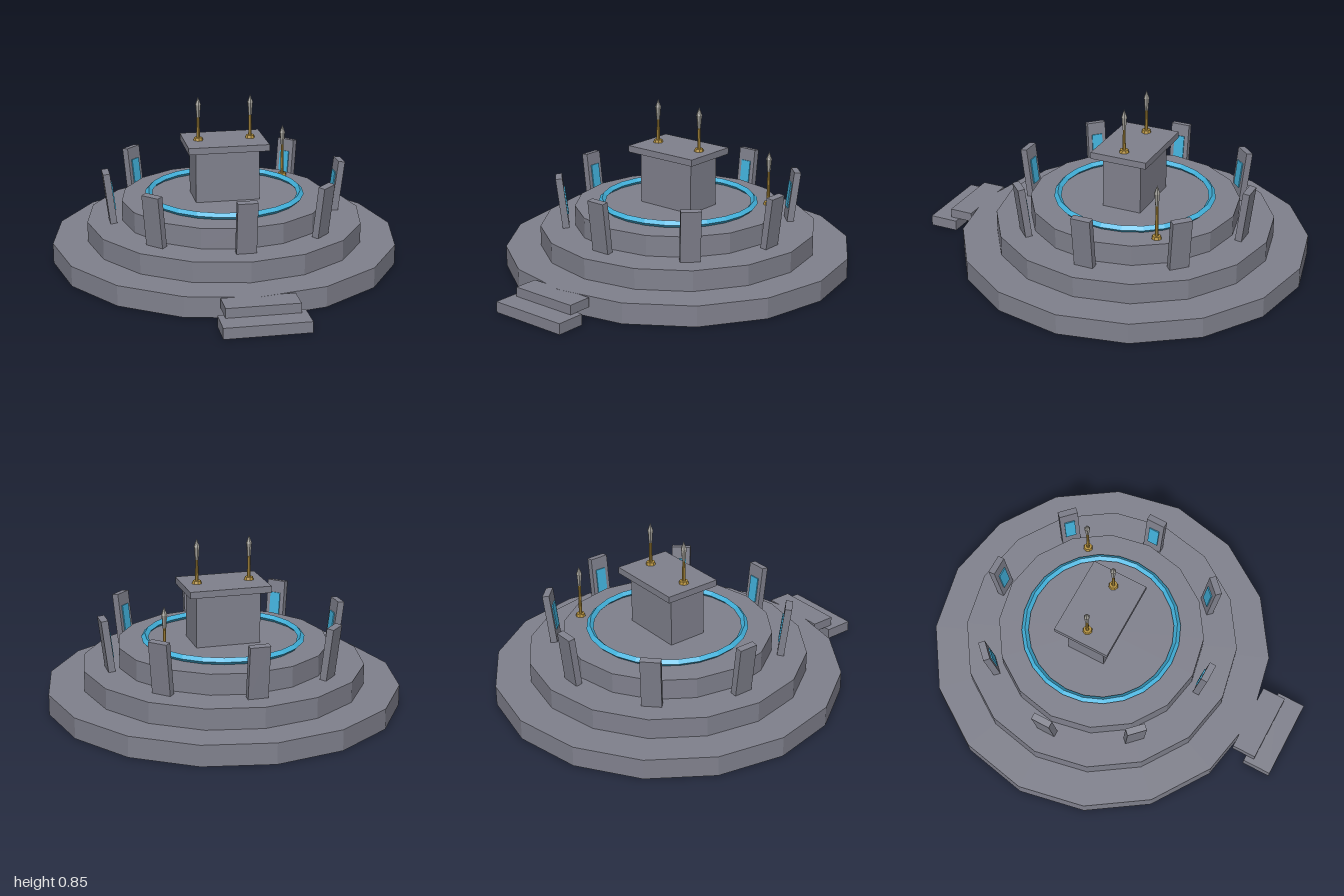
import * as THREE from 'three';

const mat = (name, color) => {
  const m = new THREE.MeshStandardMaterial({ color, flatShading: true });
  m.name = name;
  return m;
};

export function createModel() {
  const stone = mat('stone', 0x80818d);
  const glow = mat('blue glow', 0x42b2dc);
  const gold = mat('gold', 0xb8943f);
  const pale = mat('pale metal', 0x9c9a94);

  const model = new THREE.Group();
  model.name = 'altarPlatform';
  // Everything but the steps is centred on this group
  const shrine = new THREE.Group();
  shrine.name = 'shrine';
  shrine.position.z = -0.105;
  model.add(shrine);

  const add = (parent, name, geometry, material, x = 0, y = 0, z = 0) => {
    const mesh = new THREE.Mesh(geometry, material);
    mesh.name = name;
    mesh.position.set(x, y, z);
    parent.add(mesh);
    return mesh;
  };
  const box = (w, h, d) => new THREE.BoxGeometry(w, h, d);
  const cyl = (top, bottom, h, n) => new THREE.CylinderGeometry(top, bottom, h, n);

  // Three stacked sixteen-sided tiers
  [0.895, 0.715, 0.535].forEach((r, i) =>
    add(shrine, `tier${i + 1}`, cyl(r, r, 0.105, 16), stone, 0, 0.0525 + i * 0.105, 0));

  // Glowing ring with a diamond section
  const ring = add(shrine, 'glowRing', new THREE.TorusGeometry(0.395, 0.018, 4, 24), glow, 0, 0.332, 0);
  ring.rotation.x = Math.PI / 2;

  // Altar block and slab
  add(shrine, 'altarBlock', box(0.33, 0.27, 0.205), stone, 0, 0.45, 0);
  add(shrine, 'altarSlab', box(0.416, 0.034, 0.298), stone, 0, 0.601, 0);

  // Eight standing stones leaning outward, each with an inner glowing panel
  for (let i = 0; i < 8; i++) {
    const spoke = new THREE.Group();
    spoke.name = `standingStone${i + 1}`;
    spoke.rotation.y = (i * Math.PI) / 4;
    const lean = new THREE.Group();
    lean.position.set(0, 0.343, 0.599);
    lean.rotation.x = 0.12;
    add(lean, 'pillar', box(0.1, 0.266, 0.035), stone);
    add(lean, 'glowPanel', box(0.056, 0.135, 0.008), glow, 0, 0, -0.0195);
    spoke.add(lean);
    shrine.add(spoke);
  }

  // Slender candlesticks: foot, stem, pale shaft and pointed tip
  const candlestick = (name, x, y, z, stem) => {
    const g = new THREE.Group();
    g.name = name;
    g.position.set(x, y, z);
    add(g, 'foot', cyl(0.021, 0.025, 0.015, 8), gold, 0, 0.0075, 0);
    add(g, 'stem', cyl(0.007, 0.009, stem, 8), gold, 0, 0.015 + stem / 2, 0);
    add(g, 'shaft', cyl(0.014, 0.009, 0.065, 6), pale, 0, stem + 0.0475, 0);
    add(g, 'tip', cyl(0, 0.016, 0.042, 6), pale, 0, stem + 0.101, 0);
    shrine.add(g);
  };
  candlestick('candlestickRight', -0.135, 0.618, 0, 0.107);
  candlestick('candlestickLeft', 0.135, 0.618, 0, 0.107);
  candlestick('candlestickBack', 0.371, 0.315, -0.281, 0.161);

  // Front steps
  add(model, 'upperStep', box(0.357, 0.048, 0.125), stone, 0, 0.0805, 0.8325);
  add(model, 'lowerStep', box(0.416, 0.055, 0.15), stone, 0, 0.0275, 0.925);

  return model;
}
